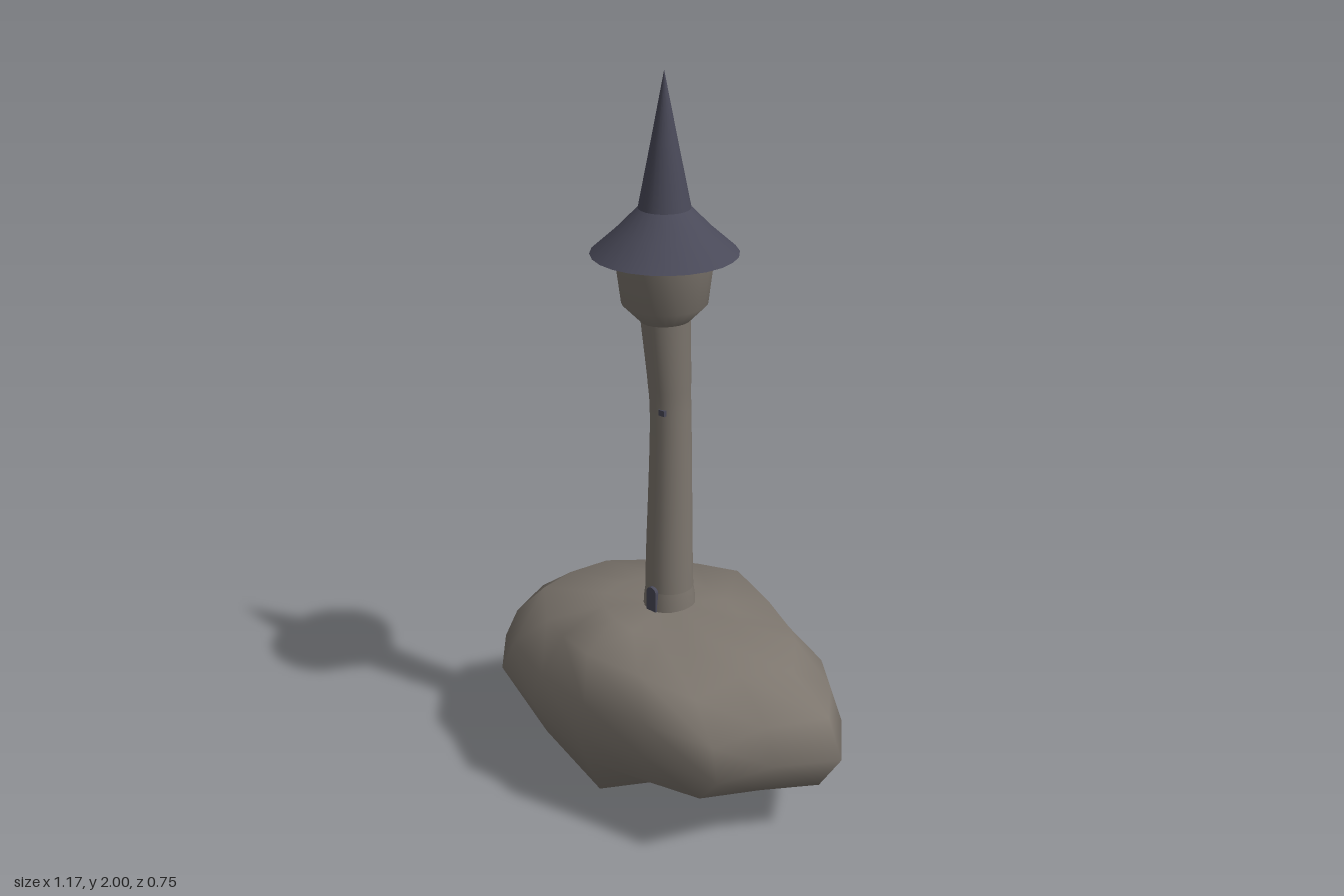
import * as THREE from 'three';
import { mergeVertices } from 'three/addons/utils/BufferGeometryUtils.js';

const stone = new THREE.MeshStandardMaterial({ name: 'warm stone', color: 0x7d766e });
const slate = new THREE.MeshStandardMaterial({ name: 'blue slate', color: 0x494958 });

function part(name, geometry, material) {
  const mesh = new THREE.Mesh(geometry, material);
  mesh.name = name;
  return mesh;
}

function lathe(points, segments = 24) {
  return new THREE.LatheGeometry(points.map(([r, y]) => new THREE.Vector2(r, y)), segments);
}

function spline(points) {
  return new THREE.SplineCurve(points.map(([a, b]) => new THREE.Vector2(a, b)));
}

// Irregular boulder: one plan outline, scaled ring by ring from top to bottom
function rockGeometry() {
  const outline = [
    [0.582, 0], [0.47, 0.14], [0.41, 0.3], [0.18, 0.335], [-0.02, 0.375], [-0.23, 0.345],
    [-0.42, 0.28], [-0.545, 0.15], [-0.585, 0], [-0.52, -0.14], [-0.41, -0.31],
    [-0.22, -0.36], [-0.02, -0.38], [0.18, -0.335], [0.35, -0.26], [0.47, -0.15],
  ];
  // height, x scale, front z scale, back z scale, lift towards front and back
  const rings = [
    [0.54, 0, 0, 0, 0], [0.515, 0.38, 0.45, 0.38, 0], [0.48, 0.71, 0.9, 0.74, 0.035],
    [0.39, 0.92, 0.93, 0.95, -0.03], [0.28, 1, 1, 1, 0], [0.17, 0.88, 0.92, 0.92, 0.01],
    [0.09, 0.65, 0.83, 0.76, -0.01], [0.06, 0.36, 0.4, 0.4, -0.02], [0.005, 0, 0, 0, 0],
  ];
  // Dents and knobs, keyed by ring and outline corner
  const knobs = {
    '2,2': [0.29, 0.46, 0.25], '2,3': [0.13, 0.485, 0.29], '2,5': [-0.16, 0.49, 0.285],
    '2,6': [-0.29, 0.46, 0.22], '2,10': [-0.3, 0.475, -0.22], '2,11': [-0.156, 0.495, -0.265],
    '2,13': [0.13, 0.485, -0.245], '2,14': [0.25, 0.47, -0.19],
    '5,2': [0.32, 0.175, 0.265], '5,6': [-0.32, 0.165, 0.25], '5,13': [0.16, 0.18, -0.28],
    '6,0': [0.31, 0.13, 0], '6,1': [0.27, 0.135, 0.1], '6,2': [0.26, 0.115, 0.19],
    '6,3': [0.11, 0.11, 0.21], '6,4': [-0.005, 0.075, 0.31], '6,5': [-0.14, 0.095, 0.235],
    '6,6': [-0.24, 0.1, 0.18], '6,9': [-0.35, 0.11, -0.08], '6,10': [-0.38, 0.08, -0.18],
    '6,12': [-0.07, 0.095, -0.28],
    '6,13': [0.12, 0.1, -0.2], '6,14': [0.21, 0.12, -0.16], '6,15': [0.37, 0.1, -0.12],
  };
  const n = outline.length, positions = [], index = [];
  rings.forEach(([y, sx, front, back, lift], j) => {
    outline.forEach(([x, z], k) => {
      const up = lift * Math.min(1, Math.abs(z) / 0.36);
      positions.push(...(knobs[`${j},${k}`] || [x * sx, y + up, z * (z > 0 ? front : back)]));
      if (j === rings.length - 1) return;
      const a = j * n + k, b = j * n + (k + 1) % n;
      if (j > 0) index.push(a, b, a + n);
      if (j < rings.length - 2) index.push(b, b + n, a + n);
    });
  });
  let g = new THREE.BufferGeometry();
  g.setAttribute('position', new THREE.Float32BufferAttribute(positions, 3));
  g.setIndex(index);
  g = mergeVertices(g, 1e-4);
  g.computeVertexNormals();
  return g;
}

// Round shaft that leans gently along its height
function towerGeometry() {
  const profile = spline([
    [0.066, 0.48], [0.066, 0.6], [0.06, 0.85], [0.055, 1.1], [0.058, 1.2], [0.066, 1.37],
  ]);
  const lean = spline([
    [-0.025, 0.48], [-0.026, 0.7], [-0.02, 1.05], [-0.025, 1.2], [-0.038, 1.37],
  ]).getPoints(60);
  const g = new THREE.LatheGeometry(profile.getPoints(16), 24);
  const p = g.attributes.position;
  for (let i = 0; i < p.count; i++) {
    const at = lean.find((q) => q.y >= p.getY(i) - 1e-4) || lean[lean.length - 1];
    p.setX(i, p.getX(i) + at.x);
  }
  return g;
}

// Small arched door leaf
function doorGeometry() {
  const s = new THREE.Shape();
  s.moveTo(-0.017, 0);
  s.lineTo(0.017, 0);
  s.lineTo(0.017, 0.055);
  s.absarc(0, 0.055, 0.017, 0, Math.PI, false);
  s.lineTo(-0.017, 0);
  return new THREE.ExtrudeGeometry(s, { depth: 0.018, bevelEnabled: false, curveSegments: 8 });
}

export function createModel() {
  const model = new THREE.Group();
  model.name = 'towerOnRock';

  model.add(part('rock', rockGeometry(), stone));
  model.add(part('towerShaft', towerGeometry(), stone));

  // Flared base, and the wider chamber beneath the roof
  const foot = part('towerFoot', lathe([[0.073, 0.48], [0.071, 0.55], [0.064, 0.6]]), stone);
  foot.position.x = -0.026;
  const chamber = part('chamber', lathe([[0.064, 1.355], [0.113, 1.405], [0.13, 1.54]]), stone);
  chamber.position.x = -0.04;
  model.add(foot, chamber);

  // Broad eaves running up into a sharp spire
  const roof = new THREE.Group();
  roof.name = 'roof';
  roof.position.x = -0.04;
  roof.add(
    part('eaves', lathe([[0.192, 1.537], [0.127, 1.595], [0.068, 1.655]]), slate),
    part('spire', lathe([[0.068, 1.655], [0.034, 1.825], [0, 2]]), slate),
    part('eavesUnderside', lathe([[0, 1.537], [0.192, 1.537]]), slate));
  model.add(roof);

  // Door and tiny window on the front of the shaft
  const door = part('door', doorGeometry(), slate);
  door.position.set(-0.026, 0.53, 0.057);
  const pane = part('window', new THREE.BoxGeometry(0.02, 0.016, 0.009), slate);
  pane.position.set(-0.002, 1.12, 0.052);
  model.add(door, pane);

  return model;
}
